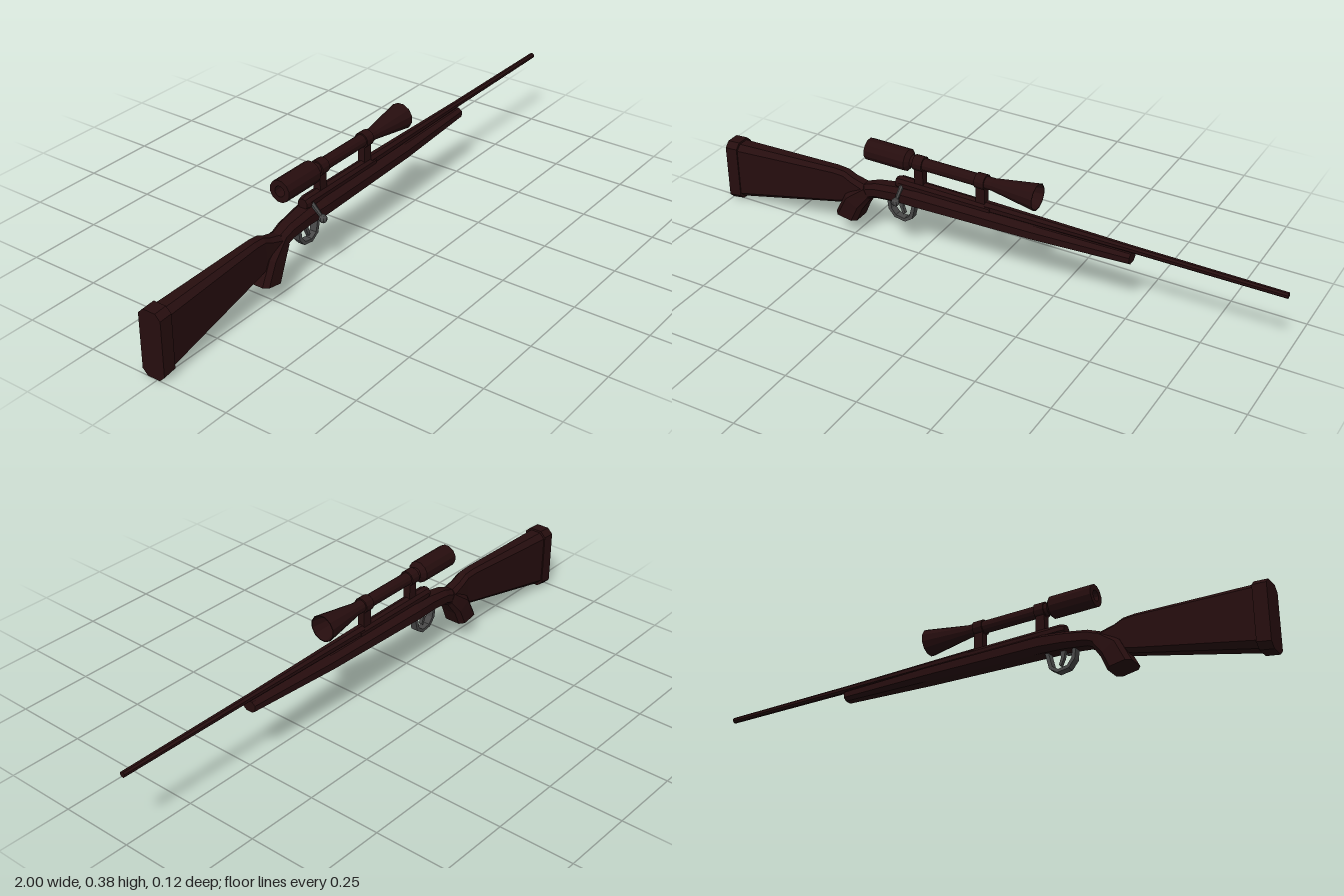
import * as THREE from 'three';

const wood = new THREE.MeshStandardMaterial({ color: 0x260d0e, flatShading: true });
wood.name = 'dark brown';
const steel = new THREE.MeshStandardMaterial({ color: 0x484848, flatShading: true });
steel.name = 'grey steel';

// Octagonal cross-section centred at (x, y), facing along angle a in the xy plane
function ring(x, y, a, h, w, chamfer = 0.4) {
  const f = w * (1 - chamfer), k = h - Math.min(h, w) * chamfer;
  const corners = [[f, h], [w, k], [w, -k], [f, -h], [-f, -h], [-w, -k], [-w, k], [-f, h]];
  return corners.map(([z, u]) => [x - Math.sin(a) * u, y + Math.cos(a) * u, z]);
}

// Skin a list of rings and cap both ends
function loft(rings) {
  const n = rings[0].length, pos = [], index = [];
  rings.forEach(r => r.forEach(p => pos.push(...p)));
  for (let s = 0; s < rings.length - 1; s++) {
    for (let i = 0; i < n; i++) {
      const a = s * n + i, b = s * n + (i + 1) % n;
      index.push(a, b, b + n, a, b + n, a + n);
    }
  }
  const e = (rings.length - 1) * n;
  for (let i = 1; i < n - 1; i++) index.push(0, i + 1, i, e, e + i, e + i + 1);
  const g = new THREE.BufferGeometry();
  g.setAttribute('position', new THREE.Float32BufferAttribute(pos, 3));
  g.setIndex(index);
  const flat = g.toNonIndexed();
  flat.computeVertexNormals();
  return flat;
}

// Turned part along x from [x, radius] pairs
function turned(profile, sides) {
  const pts = profile.map(([x, r]) => new THREE.Vector2(r, x));
  return new THREE.LatheGeometry(pts, sides, Math.PI / sides).rotateZ(-Math.PI / 2);
}

// Flat side profile given thickness in z
function plate(outline, depth, hole) {
  const v = list => list.map(([x, y]) => new THREE.Vector2(x, y));
  const shape = new THREE.Shape(v(outline));
  if (hole) shape.holes.push(new THREE.Path(v(hole)));
  return new THREE.ExtrudeGeometry(shape, { depth, bevelEnabled: false }).translate(0, 0, -depth / 2);
}

export function createModel() {
  const group = new THREE.Group();
  const body = new THREE.Group();
  body.name = 'body';
  body.position.z = -0.013;
  group.add(body);
  const add = (name, geometry, material, x = 0, y = 0, z = 0) => {
    const mesh = new THREE.Mesh(geometry, material);
    mesh.name = name;
    mesh.position.set(x, y, z);
    body.add(mesh);
    return mesh;
  };

  // Stock and fore-end: x, top, bottom, half width
  const sections = [
    [-0.96, 0.219, 0.014, 0.037], [-0.8, 0.225, 0.051, 0.032],
    [-0.57, 0.234, 0.104, 0.025], [-0.53, 0.231, 0.115, 0.024],
    [-0.5, 0.217, 0.128, 0.025], [-0.455, 0.205, 0.148, 0.028],
    [-0.41, 0.222, 0.168, 0.031], [-0.33, 0.235, 0.178, 0.036],
    [-0.25, 0.243, 0.181, 0.043], [0.17, 0.243, 0.193, 0.039],
    [0.505, 0.242, 0.205, 0.024],
  ];
  add('stock', loft(sections.map(([x, t, b, w]) => ring(x, (t + b) / 2, 0, (t - b) / 2, w, 0.5))), wood);

  // Butt pad
  add('buttPad', loft([
    ring(-1, 0.112, 0, 0.111, 0.041, 0.45),
    ring(-0.955, 0.117, 0, 0.109, 0.041, 0.45),
  ]), wood);

  // Grip, from its foot up into the stock
  add('grip', loft([
    ring(-0.52, 0.072, 1.4, 0.041, 0.043, 0.35),
    ring(-0.49, 0.135, 1.0, 0.038, 0.041, 0.35),
    ring(-0.44, 0.182, 0.5, 0.026, 0.03, 0.4),
  ]), wood);

  // Receiver and tapered barrel
  add('receiver', turned([[-0.33, 0], [-0.33, 0.018], [-0.315, 0.023], [0.02, 0.021], [0.02, 0]], 10), wood, 0, 0.248);
  add('barrel', turned([[0, 0], [0, 0.019], [0.5, 0.012], [1, 0.01], [1, 0]], 8), wood, 0, 0.253);

  // Hollow telescopic sight
  add('scope', turned([
    [-0.435, 0.018], [-0.435, 0.037], [-0.285, 0.037], [-0.272, 0.021],
    [0.025, 0.021], [0.18, 0.045], [0.18, 0.042], [0.06, 0.018], [-0.435, 0.018],
  ], 12), wood, 0, 0.339);

  // Scope mounts with rings
  for (const x of [-0.243, -0.017]) {
    add('scopeMount', new THREE.BoxGeometry(0.032, 0.062, 0.026), wood, x, 0.29);
    add('scopeRing', turned([
      [-0.017, 0.019], [-0.017, 0.026], [0.017, 0.026], [0.017, 0.019], [-0.017, 0.019],
    ], 12), wood, x, 0.339);
  }

  // Trigger guard and trigger
  add('triggerGuard', plate(
    [[-0.368, 0.185], [-0.362, 0.14], [-0.34, 0.114], [-0.3, 0.108], [-0.272, 0.127], [-0.258, 0.185]], 0.025,
    [[-0.356, 0.182], [-0.35, 0.144], [-0.334, 0.124], [-0.303, 0.119], [-0.283, 0.133], [-0.271, 0.182]]), steel);
  add('trigger', plate(
    [[-0.328, 0.185], [-0.322, 0.155], [-0.31, 0.13], [-0.303, 0.135], [-0.311, 0.158], [-0.308, 0.185]], 0.012), steel);

  // Bolt handle and knob
  const from = new THREE.Vector3(-0.305, 0.25, 0.012), to = new THREE.Vector3(-0.305, 0.206, 0.058);
  const dir = to.clone().sub(from);
  const mid = from.clone().add(to).multiplyScalar(0.5);
  const handle = add('boltHandle', new THREE.CylinderGeometry(0.006, 0.008, dir.length(), 6), steel, mid.x, mid.y, mid.z);
  handle.quaternion.setFromUnitVectors(new THREE.Vector3(0, 1, 0), dir.normalize());
  add('boltKnob', new THREE.SphereGeometry(0.014, 8, 6), steel, to.x, to.y, to.z);

  return group;
}
